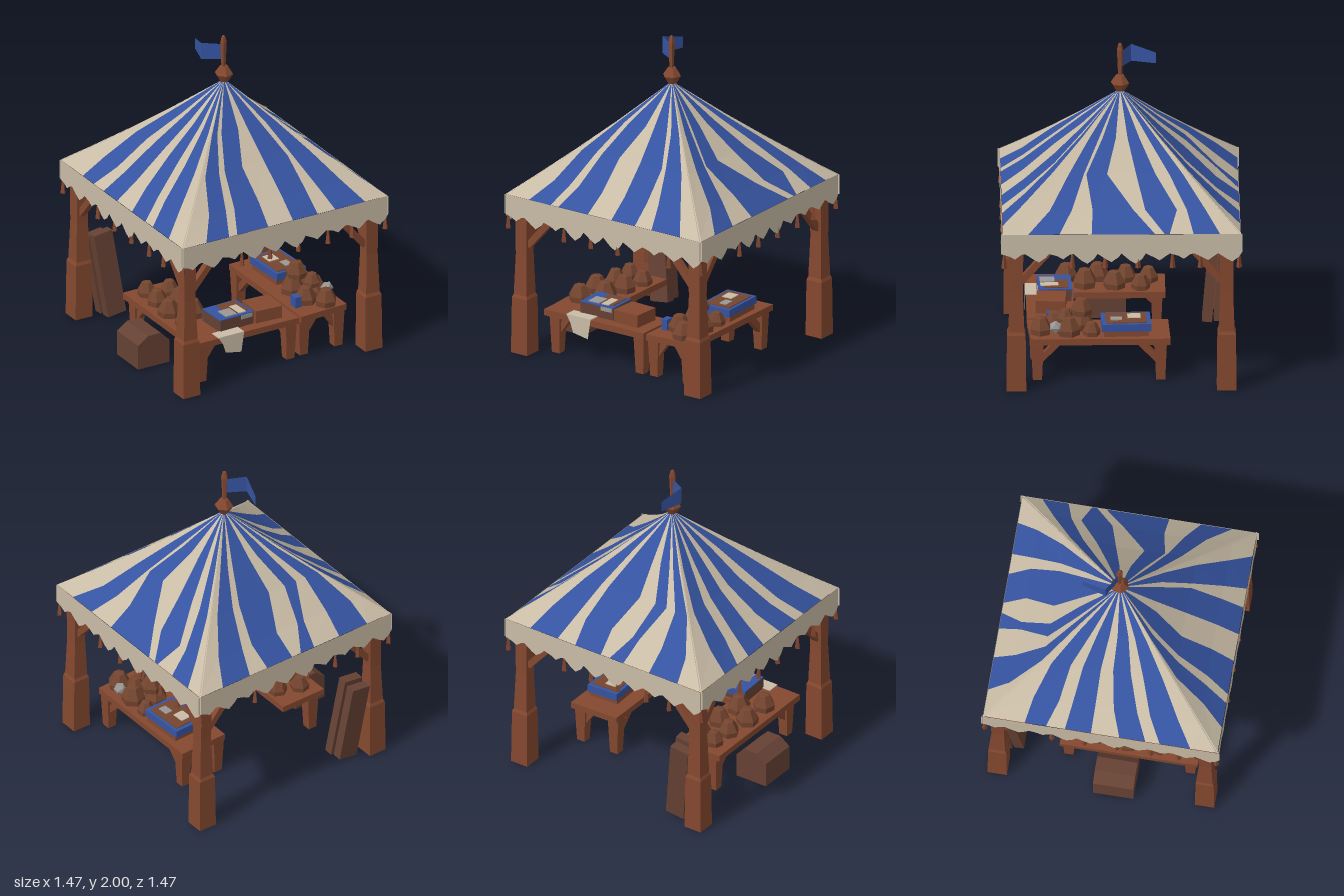
import * as THREE from 'three';

const mat = (name, color, side = THREE.FrontSide) =>
  new THREE.MeshStandardMaterial({ name, color, side, flatShading: true });

export function createModel() {
  const wood = mat('wood', 0x84482f);
  const darkWood = mat('darkWood', 0x664134);
  const produce = mat('produce', 0x74452f);
  const cream = mat('creamCloth', 0xc9bca6, THREE.DoubleSide);
  const blue = mat('blueCloth', 0x3553a0, THREE.DoubleSide);
  const grey = mat('greyGoods', 0x9a9693);

  const model = new THREE.Group();
  model.name = 'marketStall';
  const add = (name, geo, material, x = 0, y = 0, z = 0, parent = model) => {
    const m = new THREE.Mesh(geo, material);
    m.name = name;
    m.position.set(x, y, z);
    parent.add(m);
    return m;
  };
  const box = (name, material, w, h, d, x, y, z, parent) =>
    add(name, new THREE.BoxGeometry(w, h, d), material, x, y, z, parent);
  // Square timber running between two points
  const beam = (name, a, b, w) => {
    const p = new THREE.Vector3(...a), q = new THREE.Vector3(...b);
    const m = box(name, wood, w, w, p.distanceTo(q), 0, 0, 0);
    m.position.copy(p).add(q).multiplyScalar(0.5);
    m.lookAt(q);
  };
  // Faceted turned shape from [radius, height] pairs
  const turned = (sides, profile) => new THREE.LatheGeometry(
    profile.map(([r, y]) => new THREE.Vector2(r, y)), sides, Math.PI / 4);
  // Square column with half-widths given by height
  const column = (profile) => turned(4, profile.map(([r, y]) => [r * Math.SQRT2, y]));

  // Corner posts with diagonal braces
  const postGeo = column([[0, 0], [0.06, 0], [0.056, 0.36], [0.048, 0.38], [0.039, 0.64], [0.042, 0.9], [0.045, 1.03], [0, 1.03]]);
  for (const sx of [-1, 1]) for (const sz of [-1, 1]) {
    add('post', postGeo, wood, sx * 0.645, 0, sz * 0.64);
    beam('brace', [sx * 0.61, 0.7, sz * 0.64], [sx * 0.42, 0.92, sz * 0.64], 0.042);
    beam('brace', [sx * 0.645, 0.7, sz * 0.61], [sx * 0.645, 0.92, sz * 0.42], 0.042);
  }

  // Striped canopy: each row gives stripe edges across the panel, from eave to peak
  const levels = [0, 0.16, 0.4, 0.65, 1];
  const panels = [
    [[-0.76, -0.54, -0.46, -0.16, 0.08, 0.32, 0.49, 0.78],
      [-0.76, -0.56, -0.46, -0.17, 0.1, 0.38, 0.52, 0.8],
      [-0.9, -0.66, -0.56, -0.26, 0.11, 0.5, 0.57, 0.86],
      [-0.95, -0.78, -0.65, -0.15, 0.11, 0.52, 0.66, 0.92]],
    [[-0.78, -0.52, -0.25, 0.28, 0.36, 0.4, 0.6, 0.82],
      [-0.72, -0.5, -0.29, 0.12, 0.24, 0.56, 0.66, 0.85],
      [-0.76, -0.54, -0.5, -0.2, 0.22, 0.5, 0.7, 0.9],
      [-0.8, -0.55, -0.46, -0.12, 0.18, 0.48, 0.7, 0.92]],
    [[-0.75, -0.47, -0.29, -0.03, 0.06, 0.2, 0.46, 0.75],
      [-0.8, -0.5, -0.38, -0.06, 0.2, 0.28, 0.56, 0.86],
      [-0.85, -0.56, -0.44, 0.1, 0.38, 0.58, 0.74, 0.96],
      [-0.85, -0.6, -0.45, 0.08, 0.32, 0.6, 0.72, 0.92]],
    [[-0.64, -0.46, -0.3, -0.08, 0.16, 0.38, 0.5, 0.76],
      [-0.72, -0.46, -0.32, -0.09, 0.1, 0.34, 0.47, 0.76],
      [-0.84, -0.56, -0.38, -0.12, 0.06, 0.32, 0.5, 0.8],
      [-0.88, -0.55, -0.4, -0.1, 0.1, 0.38, 0.55, 0.85]],
  ];
  const canopyPoint = (u, t) => {
    const h = (1 - t) * (1 - 0.1 * t);
    const sag = 1 - 0.04 * Math.sin(Math.PI * t) * (1 - u * u);
    return [0.73 * h * u, 1.03 + 0.67 * t, 0.722 * h * sag];
  };
  const fromPoints = (pos) => {
    const geo = new THREE.BufferGeometry();
    geo.setAttribute('position', new THREE.Float32BufferAttribute(pos, 3));
    geo.computeVertexNormals();
    return geo;
  };
  const panelGeometry = (rows) => {
    const edges = rows.map((r) => [-1, ...r, 1]);
    edges.push(edges[3]);
    const pos = [], starts = [];
    for (let s = 0; s < 9; s++) {
      starts.push(pos.length / 3);
      for (let i = 0; i < 4; i++) {
        const a = canopyPoint(edges[i][s], levels[i]), b = canopyPoint(edges[i][s + 1], levels[i]);
        const c = canopyPoint(edges[i + 1][s + 1], levels[i + 1]), d = canopyPoint(edges[i + 1][s], levels[i + 1]);
        pos.push(...a, ...b, ...c);
        if (i < 3) pos.push(...a, ...c, ...d);
      }
    }
    const geo = fromPoints(pos);
    starts.forEach((start, s) => geo.addGroup(start, 21, s % 2));
    return geo;
  };

  // Inner lining along the lower part of each canopy side, facing inwards
  const [la, lb, lc, ld] = [canopyPoint(-0.98, 0), canopyPoint(0.98, 0), canopyPoint(0.98, 0.3), canopyPoint(-0.98, 0.3)];
  const liningGeo = fromPoints([...la, ...lc, ...lb, ...la, ...ld, ...lc]);

  // Ragged valance shape
  const skirt = new THREE.Shape();
  skirt.moveTo(-0.735, 1.03);
  [0.87, 0.85, 0.87, 0.84, 0.85, 0.84, 0.86, 0.87, 0.86, 0.85].forEach((low, i) => {
    const x = -0.735 + i * 0.147;
    skirt.lineTo(x, 0.905);
    skirt.lineTo(x + 0.05, low + 0.02);
    skirt.lineTo(x + 0.085, low);
    skirt.lineTo(x + 0.125, low + 0.03);
  });
  skirt.lineTo(0.735, 0.915);
  skirt.lineTo(0.735, 1.03);
  const skirtGeo = new THREE.ShapeGeometry(skirt);
  const tasselGeo = new THREE.CylinderGeometry(0.007, 0.018, 0.09, 4);

  panels.forEach((rows, i) => {
    const side = new THREE.Group();
    side.name = 'canopySide';
    side.rotation.y = i * Math.PI / 2;
    model.add(side);
    add('stripedRoof', panelGeometry(rows), [cream, blue], 0, 0, 0, side);
    add('lining', liningGeo, grey, 0, -0.008, -0.008, side);
    add('valance', skirtGeo, cream, 0, 0, 0.725, side);
    for (const x of [-0.715, -0.3, -0.1, 0.1, 0.31, 0.48])
      add('tassel', tasselGeo, wood, x, 0.855, 0.715, side);
  });

  // Finial, pole and pennant
  add('finial', turned(6, [[0, 1.69], [0.028, 1.69], [0.058, 1.74], [0.025, 1.79], [0, 1.79]]), wood);
  add('flagPole', turned(5, [[0.013, 1.78], [0.021, 1.95], [0.012, 1.99], [0, 2]]), wood, -0.004);
  const flagGeo = new THREE.PlaneGeometry(1, 0.1, 2, 1);
  const path = [[0, 0, 1.885], [-0.12, -0.07, 1.89], [-0.075, -0.22, 1.87]];
  const fp = flagGeo.attributes.position;
  for (let i = 0; i < 6; i++) {
    const [x, z, y] = path[i % 3];
    fp.setXYZ(i, x, y + (i < 3 ? 1 : -1) * [0.05, 0.055, 0.035][i % 3], z);
  }
  add('flag', flagGeo, blue);

  // Counters: an L across the front and one side, and a separate table opposite
  const counter = (name, pts) => {
    const g = new THREE.ExtrudeGeometry(
      new THREE.Shape(pts.map(([x, z]) => new THREE.Vector2(x, -z))), { depth: 0.04, bevelEnabled: false });
    g.rotateX(-Math.PI / 2);
    add(name, g, wood, 0, 0.235, 0);
  };
  counter('cornerCounter', [[-0.55, 0.57], [0.19, 0.57], [0.19, 0.28], [-0.24, 0.28], [-0.24, -0.28], [-0.55, -0.28]]);
  counter('sideTable', [[0.21, 0.57], [0.54, 0.55], [0.54, -0.3], [0.21, -0.29]]);
  const legGeo = column([[0, 0], [0.028, 0], [0.038, 0.24]]);
  const legs = [[-0.48, 0.52, 1, -1], [0.145, 0.52, 0, -1], [-0.48, -0.23, 0, 1],
    [0.245, 0.51, 1, -1], [0.49, 0.51, -1, -1], [0.245, -0.24, 0, 1], [0.49, -0.24, -1, 1]];
  for (const [x, z, dx, dz] of legs) {
    add('tableLeg', legGeo, wood, x, 0, z);
    if (dx) beam('tableBrace', [x, 0.12, z], [x + dx * 0.08, 0.235, z], 0.04);
    if (dz) beam('tableBrace', [x, 0.11, z], [x, 0.235, z + dz * 0.12], 0.04);
  }

  // Cloth draped over the front edge
  const drape = new THREE.Shape([[-0.38, 0.28], [-0.35, 0.23], [-0.33, 0.17], [-0.22, 0.15], [-0.2, 0.28]]
    .map(([x, y]) => new THREE.Vector2(x, y)));
  add('drapedCloth', new THREE.ShapeGeometry(drape), cream, 0, 0, 0.576);
  box('clothTop', cream, 0.18, 0.006, 0.08, -0.29, 0.279, 0.536);

  // Trays: wooden base, cloth-wrapped body and goods on top
  const tray = (name, x, z, turn) => {
    const g = new THREE.Group();
    g.name = name;
    g.position.set(x, 0.275, z);
    g.rotation.y = turn;
    model.add(g);
    return g;
  };
  const sideTray = tray('sideTray', 0.4, -0.03, 0.04);
  box('trayBase', wood, 0.2, 0.035, 0.27, 0, 0.0175, 0, sideTray);
  box('trayRim', blue, 0.21, 0.048, 0.3, 0, 0.057, 0, sideTray);
  box('trayTop', produce, 0.17, 0.006, 0.25, 0, 0.083, 0, sideTray);
  box('trayGoods', cream, 0.07, 0.006, 0.08, -0.02, 0.088, -0.05, sideTray);
  box('trayGoods', grey, 0.05, 0.006, 0.07, 0.02, 0.088, 0.06, sideTray);

  const frontTray = tray('frontTray', -0.21, 0.4, 0.04);
  box('trayBody', darkWood, 0.24, 0.075, 0.2, 0, 0.0375, 0, frontTray);
  box('trayRim', blue, 0.24, 0.045, 0.008, 0, 0.054, -0.104, frontTray);
  box('trayTop', blue, 0.24, 0.006, 0.2, 0, 0.078, 0, frontTray);
  box('trayTop', produce, 0.13, 0.006, 0.15, 0.035, 0.083, -0.01, frontTray);
  box('trayGoods', grey, 0.08, 0.006, 0.09, -0.03, 0.087, 0.04, frontTray);
  box('trayGoods', cream, 0.05, 0.006, 0.11, 0.05, 0.087, 0.03, frontTray);
  box('trayEdge', grey, 0.08, 0.025, 0.006, 0.07, 0.063, 0.102, frontTray);

  const plainTray = tray('plainTray', 0.02, 0.42, -0.05);
  box('trayBody', wood, 0.18, 0.08, 0.18, 0, 0.04, 0, plainTray);

  // Heaped produce: x, y, z, radius
  const heapGeo = turned(6, [[0, 0], [0.95, 0], [1, 0.5], [0.5, 1.45], [0, 1.55]]);
  const heap = [[-0.46, 0.275, 0.32, 0.07], [-0.35, 0.275, 0.21, 0.075], [-0.47, 0.275, 0.13, 0.07],
    [-0.33, 0.275, 0.03, 0.07], [-0.45, 0.275, -0.04, 0.065], [-0.31, 0.275, -0.13, 0.06],
    [-0.44, 0.275, -0.18, 0.06], [0.43, 0.275, 0.49, 0.07], [0.34, 0.275, 0.4, 0.07],
    [0.45, 0.275, 0.32, 0.075], [0.34, 0.275, 0.24, 0.075], [0.46, 0.275, 0.18, 0.055],
    [0.37, 0.375, 0.24, 0.068], [0.42, 0.345, 0.34, 0.055]];
  heap.forEach(([x, y, z, r], i) => {
    const m = add('produce', heapGeo, produce, x, y, z);
    m.scale.setScalar(r);
    m.rotation.y = i * 0.7;
  });
  add('greyJar', new THREE.IcosahedronGeometry(0.04, 0), grey, 0.49, 0.335, 0.4);
  box('blueBundle', blue, 0.04, 0.07, 0.06, 0.26, 0.31, 0.42);

  // Chest with a gabled lid beside the counter
  const chest = new THREE.Shape([[-0.11, 0], [0.11, 0], [0.11, 0.15], [0.05, 0.21], [-0.04, 0.21], [-0.11, 0.16]]
    .map(([x, y]) => new THREE.Vector2(x, y)));
  add('chest', new THREE.ExtrudeGeometry(chest, { depth: 0.25, bevelEnabled: false }), darkWood, -0.62, 0, -0.045);

  // Planks leaning near the back post
  for (const [x, z, h] of [[-0.49, -0.56, 0.55], [-0.5, -0.63, 0.52]]) {
    const p = box('leaningPlank', darkWood, 0.13, h, 0.06, x, h / 2 + 0.007, z);
    p.rotation.set(-0.09, 0, 0.13);
  }
  return model;
}
